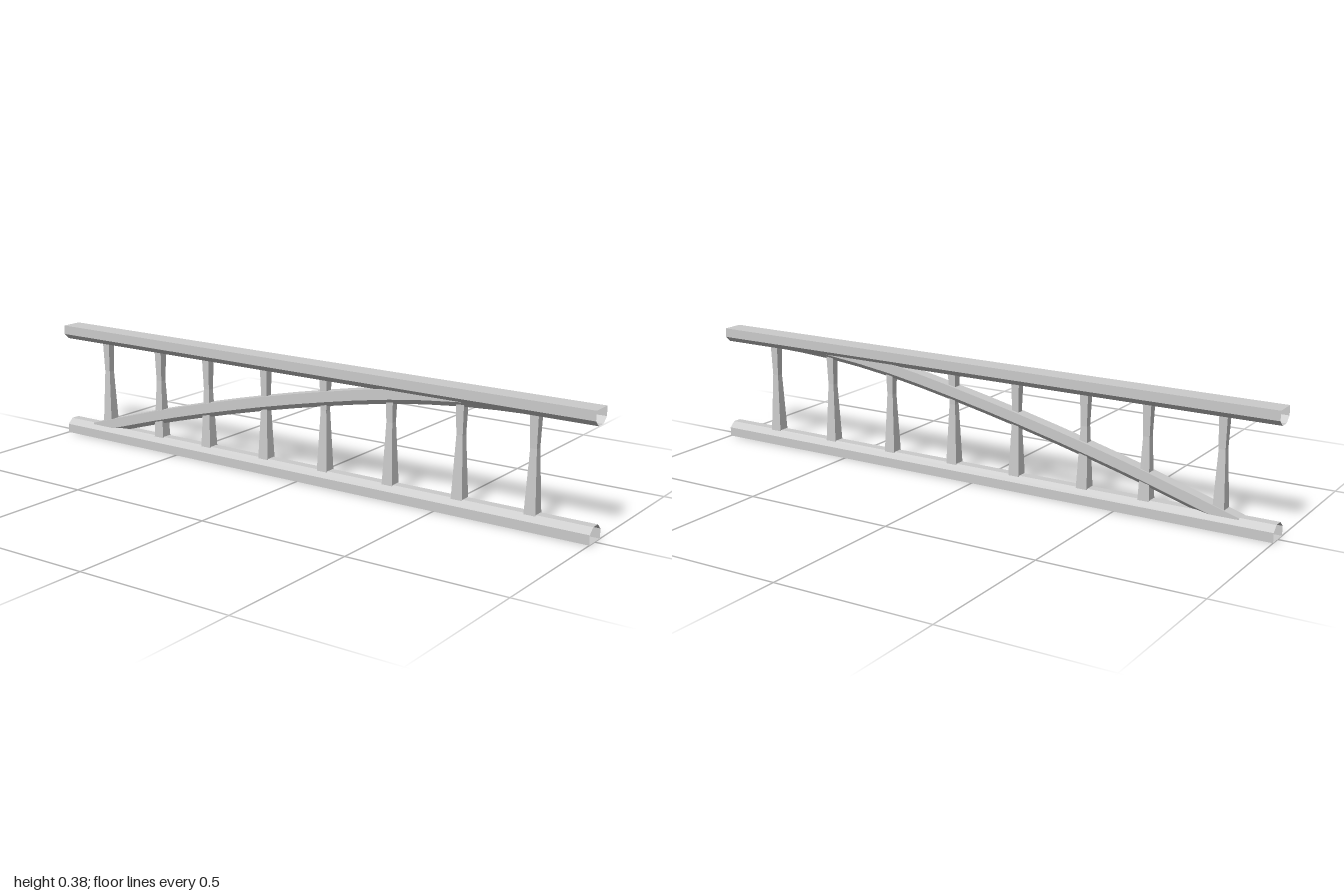
import * as THREE from 'three';

const material = new THREE.MeshStandardMaterial({
  color: 0xcccccc, flatShading: true, side: THREE.DoubleSide,
});

// Skin a list of equal-length rings (counter-clockwise seen from the far end); ends stay open
function loft(name, rings) {
  const pos = [];
  for (let i = 0; i < rings.length - 1; i++) {
    const n = rings[i].length;
    for (let j = 0; j < n; j++) {
      const k = (j + 1) % n;
      const a = rings[i][j], b = rings[i][k], c = rings[i + 1][k], d = rings[i + 1][j];
      pos.push(...a, ...b, ...c, ...a, ...c, ...d);
    }
  }
  const geo = new THREE.BufferGeometry();
  geo.setAttribute('position', new THREE.Float32BufferAttribute(pos, 3));
  geo.computeVertexNormals();
  const mesh = new THREE.Mesh(geo, material);
  mesh.name = name;
  return mesh;
}

// Bar section: flat top, upright sides, chamfered underside
const barSection = (half, flat, height, chamfer) => [
  [-flat, -height], [flat, -height], [half, chamfer - height],
  [half, 0], [-half, 0], [-half, chamfer - height],
];

export function createModel() {
  const group = new THREE.Group();

  // Hollow rails: the lower one is the upper one turned over
  const railSection = barSection(0.035, 0.015, 0.048, 0.018);
  const makeRail = (name) =>
    loft(name, [-1, 1].map((z) => railSection.map(([x, y]) => [x, y, z])));
  const topRail = makeRail('topRail');
  topRail.position.y = 0.385;
  const bottomRail = makeRail('bottomRail');
  bottomRail.rotation.z = Math.PI;
  group.add(topRail, bottomRail);

  // Waisted square posts: [half width, height]
  const postProfile = [[0.019, 0.02], [0.019, 0.04], [0.0105, 0.24], [0.0135, 0.337]];
  const posts = new THREE.Group();
  posts.name = 'posts';
  for (const z of [0.806, 0.568, 0.327, 0.086, -0.145, -0.383, -0.589, -0.825]) {
    const post = loft('post', postProfile.map(([s, y]) =>
      [[s, y, s], [s, y, -s], [-s, y, -s], [-s, y, s]]));
    post.position.z = z;
    posts.add(post);
  }
  group.add(posts);

  // Curved brace sweeping from the lower rail up into the upper rail: [z, top height]
  const curve = new THREE.CatmullRomCurve3([
    [-0.89, 0.048], [-0.61, 0.132], [-0.4, 0.189], [-0.155, 0.249],
    [0.09, 0.302], [0.33, 0.346], [0.57, 0.374], [0.8, 0.384], [0.95, 0.385],
  ].map(([z, y]) => new THREE.Vector3(0, y, z)));
  const braceSection = barSection(0.0205, 0.008, 0.048, 0.015);
  group.add(loft('curvedBrace', curve.getPoints(16).map((p) =>
    braceSection.map(([x, y]) => [x, p.y + y, p.z]))));

  return group;
}
